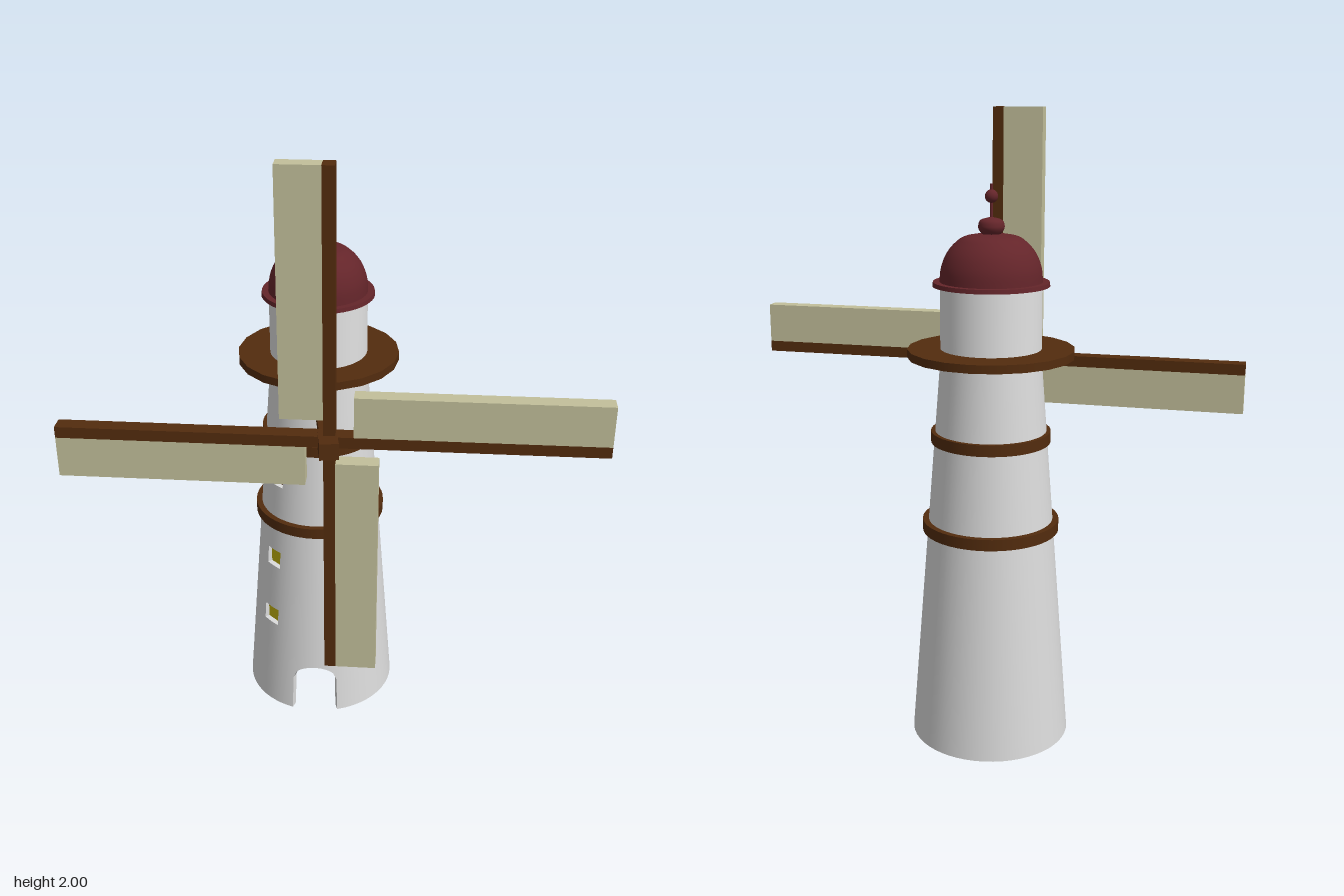
import * as THREE from 'three';

const mat = (name, color) => Object.assign(new THREE.MeshStandardMaterial({ color }), { name });
const white = mat('whitewash', 0xdcdcdc);
const wood = mat('brownWood', 0x532c0e);
const red = mat('darkRed', 0x64252a);
const cloth = mat('sailCloth', 0xc3c09b);
const yellow = mat('yellowGlass', 0xc8b60c);

const DEG = Math.PI / 180;
const WALL = 0.026, KINK = 1.25, TOP = 1.48;
const radius = (y) => Math.max(0.157, 0.255 - 0.0784 * y);
const windows = [[0.315, 0.375], [0.54, 0.602], [0.845, 0.895]];
const W0 = 308, W1 = 325; // window edges, degrees round from the front
const DOOR = 18; // half angle of the doorway

function add(parent, name, geometry, material, x = 0, y = 0, z = 0) {
  const mesh = new THREE.Mesh(geometry, material);
  mesh.name = name;
  mesh.position.set(x, y, z);
  parent.add(mesh);
  return mesh;
}

// Hollow tapered wall with an arched doorway and window openings
function wallGeometry() {
  const pos = [], nor = [];
  const at = (deg, y, inset = 0) => {
    const r = radius(y) - inset;
    return new THREE.Vector3(r * Math.sin(deg * DEG), y, r * Math.cos(deg * DEG));
  };
  const radial = (deg, s) => new THREE.Vector3(Math.sin(deg * DEG), 0.078, Math.cos(deg * DEG)).multiplyScalar(s);
  // Adds a quad whose corners are turned to agree with its normals
  const quad = (p, n) => {
    const face = p[1].clone().sub(p[0]).cross(p[2].clone().sub(p[0]));
    const order = face.dot(n[0]) > 0 ? [0, 1, 2, 0, 2, 3] : [0, 2, 1, 0, 3, 2];
    for (const i of order) {
      pos.push(...p[i].toArray());
      nor.push(...n[i].toArray());
    }
  };
  const flat = (v) => [v, v, v, v];
  const skin = (a, b, a0, b0, top) => {
    for (const [inset, s] of [[0, 1], [WALL, -1]]) {
      const na = radial(a, s), nb = radial(b, s);
      quad([at(a, a0, inset), at(b, b0, inset), at(b, top, inset), at(a, top, inset)], [na, nb, nb, na]);
    }
  };
  const ledge = (a, b, ya, yb, s) => {
    quad([at(a, ya), at(b, yb), at(b, yb, WALL), at(a, ya, WALL)], flat(new THREE.Vector3(0, s, 0)));
  };
  const jamb = (deg, y0, y1, s) => {
    const n = new THREE.Vector3(Math.cos(deg * DEG), 0, -Math.sin(deg * DEG)).multiplyScalar(s);
    quad([at(deg, y0), at(deg, y1), at(deg, y1, WALL), at(deg, y0, WALL)], flat(n));
  };
  const arch = (deg) => 0.125 + 0.052 * Math.sqrt(Math.max(0, 1 - (deg / DOOR) ** 2));

  // Sectors: doorway, plain wall, windows, plain wall
  for (const [from, to, steps, kind] of [[-DOOR, DOOR, 14, 'door'], [DOOR, W0, 44, ''], [W0, W1, 3, 'window'], [W1, 360 - DOOR, 3, '']]) {
    for (let i = 0; i < steps; i++) {
      const a = from + (to - from) * i / steps, b = from + (to - from) * (i + 1) / steps;
      const door = kind === 'door';
      let ya = door ? arch(a) : 0, yb = door ? arch(b) : 0;
      ledge(a, b, ya, yb, -1);
      if (kind === 'window') {
        for (const [lo, hi] of windows) {
          skin(a, b, ya, yb, lo);
          ledge(a, b, lo, lo, 1);
          ledge(a, b, hi, hi, -1);
          ya = yb = hi;
        }
      }
      skin(a, b, ya, yb, KINK);
      skin(a, b, KINK, KINK, TOP);
    }
  }
  jamb(-DOOR, 0, 0.125, 1);
  jamb(DOOR, 0, 0.125, -1);
  for (const [lo, hi] of windows) {
    jamb(W0, lo, hi, 1);
    jamb(W1, lo, hi, -1);
  }
  const g = new THREE.BufferGeometry();
  g.setAttribute('position', new THREE.Float32BufferAttribute(pos, 3));
  g.setAttribute('normal', new THREE.Float32BufferAttribute(nor, 3));
  g.normalizeNormals();
  return g;
}

export function createModel() {
  const model = new THREE.Group();
  model.name = 'windmill';

  const tower = new THREE.Group();
  tower.name = 'tower';
  tower.position.set(-0.07, 0, -0.12);
  model.add(tower);
  add(tower, 'towerWall', wallGeometry(), white);

  // Window panes set back in their openings
  windows.forEach(([lo, hi], i) => {
    const y = (lo + hi) / 2, a = (W0 + W1) / 2 * DEG, r = radius(y) - 0.019;
    const pane = add(tower, 'windowPane', new THREE.BoxGeometry(radius(y) * 0.31, hi - lo + 0.006, 0.006),
      i < 2 ? yellow : wood, r * Math.sin(a), y, r * Math.cos(a));
    pane.rotation.y = a;
  });

  // Wooden bands and balcony
  for (const [name, r, y, h, sides] of [['lowerBand', 0.217, 0.712, 0.036, 48], ['upperBand', 0.188, 1.002, 0.036, 48], ['balcony', 0.26, 1.268, 0.026, 20]]) {
    add(tower, name, new THREE.CylinderGeometry(r, r, h, sides), wood, 0, y, 0);
  }

  // Domed cap with rim, knob and finial
  add(tower, 'capRim', new THREE.CylinderGeometry(0.178, 0.18, 0.013, 48), red, 0, 1.481, 0);
  const lathe = (pts) => new THREE.LatheGeometry(
    new THREE.SplineCurve(pts.map(([x, y]) => new THREE.Vector2(x, y))).getPoints(20), 48);
  add(tower, 'dome', lathe([[0.158, 1.485], [0.153, 1.53], [0.136, 1.573], [0.108, 1.606], [0.075, 1.625], [0, 1.634]]), red);
  add(tower, 'knob', lathe([[0.024, 1.625], [0.037, 1.642], [0.04, 1.656], [0.032, 1.673], [0, 1.682]]), red);
  add(tower, 'finialRod', new THREE.CylinderGeometry(0.005, 0.005, 0.11, 12), red, 0, 1.725, 0);
  add(tower, 'finialBall', new THREE.SphereGeometry(0.02, 20, 14), red, 0, 1.743, 0);

  // Slightly tilted axle, its z axis pointing forward out of the tower
  const axle = new THREE.Group();
  axle.name = 'axle';
  axle.position.set(-0.048, 1.148, 0.02);
  axle.lookAt(0.005, 1.17, 0.37);
  model.add(axle);
  add(axle, 'shaft', new THREE.BoxGeometry(0.046, 0.034, 0.3), wood, 0, 0, 0.15);
  add(axle, 'hub', new THREE.BoxGeometry(0.058, 0.052, 0.11), wood, 0, 0, 0.3);

  // Four arms, each with a sail on one side
  const rotor = new THREE.Group();
  rotor.name = 'rotor';
  rotor.position.set(0, 1.17, 0.284);
  model.add(rotor);
  for (let i = 0; i < 4; i++) {
    const blade = new THREE.Group();
    blade.name = 'blade';
    blade.rotation.z = i * Math.PI / 2;
    rotor.add(blade);
    add(blade, 'arm', new THREE.BoxGeometry(0.036, 0.83, 0.052), wood, 0, 0.415, 0);
    add(blade, 'sail', new THREE.BoxGeometry(0.13, 0.757, 0.052), cloth, -0.083, 0.4515, 0);
  }
  return model;
}
